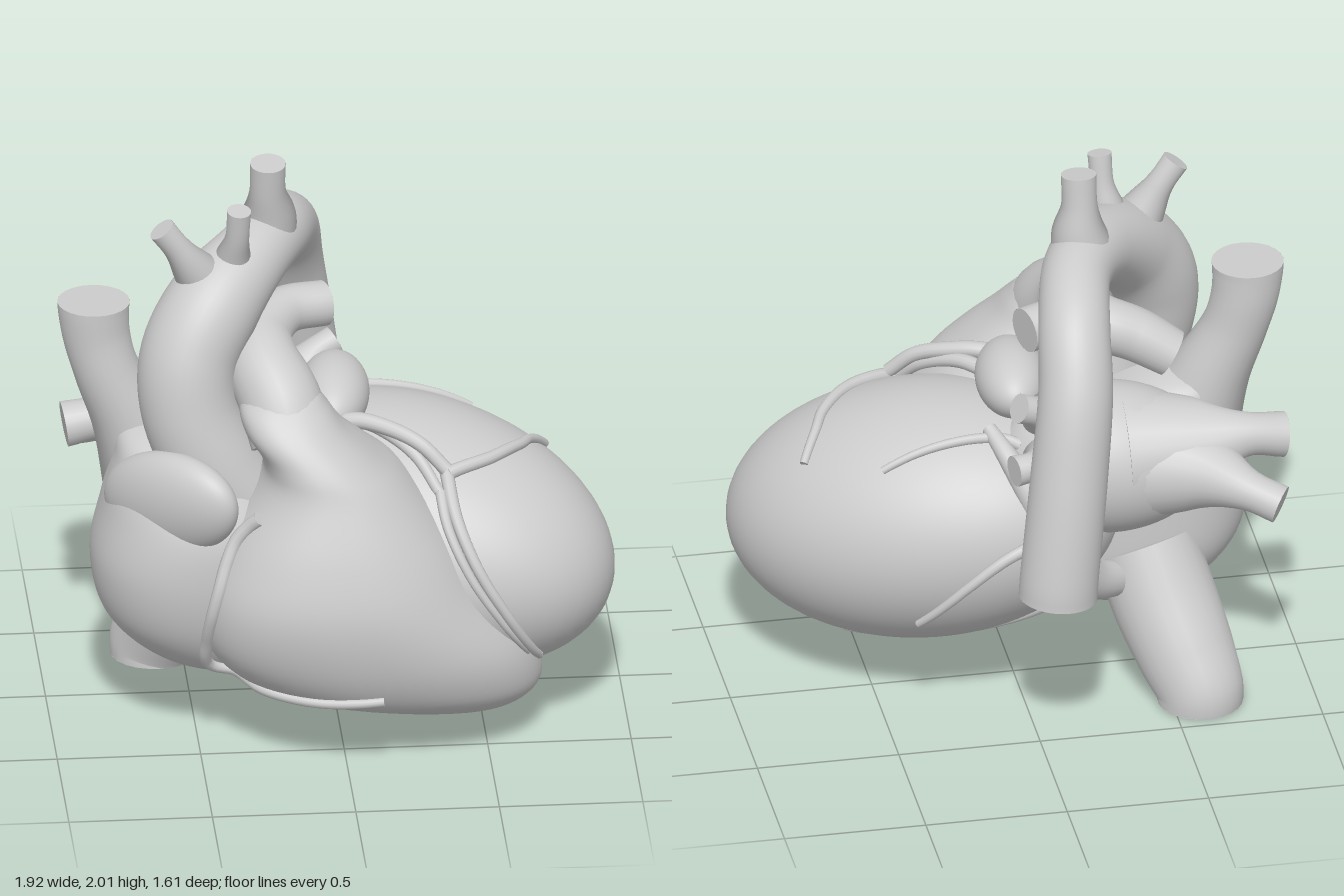
import * as THREE from 'three';

const grey = new THREE.MeshStandardMaterial({ color: 0xcccccc, side: THREE.DoubleSide });
const V = (p) => new THREE.Vector3(...p);

function add(parent, name, geometry) {
  const mesh = new THREE.Mesh(geometry, grey);
  mesh.name = name;
  parent.add(mesh);
  return mesh;
}

// Capped tube along points [x, y, z, radius]
function vessel(parent, name, points, segments = 40, sides = 24) {
  const group = new THREE.Group();
  group.name = name;
  const curve = new THREE.CatmullRomCurve3(points.map((p) => V(p.slice(0, 3))));
  const radii = new THREE.CatmullRomCurve3(points.map((p, i) => V([i, p[3], 0])), false, 'catmullrom', 0.5);
  const geo = new THREE.TubeGeometry(curve, segments, 1, sides);
  const pos = geo.attributes.position;
  const v = new THREE.Vector3();
  for (let i = 0; i <= segments; i++) {
    const centre = curve.getPointAt(i / segments);
    const r = radii.getPoint(curve.getUtoTmapping(i / segments)).y;
    for (let j = 0; j <= sides; j++) {
      const k = i * (sides + 1) + j;
      v.fromBufferAttribute(pos, k).sub(centre).multiplyScalar(r).add(centre);
      pos.setXYZ(k, v.x, v.y, v.z);
    }
  }
  add(group, name + 'Wall', geo);
  for (const [t, sign] of [[0, -1], [1, 1]]) {
    const cap = add(group, name + 'Cap', new THREE.CircleGeometry(points[t ? points.length - 1 : 0][3], sides));
    cap.position.copy(curve.getPointAt(t));
    cap.quaternion.setFromUnitVectors(V([0, 0, 1]), curve.getTangentAt(t).multiplyScalar(sign));
  }
  parent.add(group);
  return group;
}

// Smooth body through horizontal sections [y, xMin, xMax, zMin, zMax]
function loft(parent, name, sections, power, rows = 60, cols = 64) {
  const spline = (a, b) => new THREE.CatmullRomCurve3(sections.map((s) => V([s[0], s[a], s[b]])), false, 'catmullrom', 0.5);
  const xs = spline(1, 2), zs = spline(3, 4);
  const pos = [], index = [];
  const round = (c) => Math.sign(c) * Math.abs(c) ** (2 / power);
  for (let i = 0; i <= rows; i++) {
    const a = xs.getPoint(i / rows), b = zs.getPoint(i / rows);
    for (let j = 0; j < cols; j++) {
      const t = (j / cols) * Math.PI * 2;
      pos.push((a.y + a.z) / 2 + ((a.z - a.y) / 2) * round(Math.cos(t)), a.x,
        (b.y + b.z) / 2 + ((b.z - b.y) / 2) * round(Math.sin(t)));
      if (i === rows) continue;
      const k = i * cols + j, n = i * cols + ((j + 1) % cols);
      index.push(k, k + cols, n, n, k + cols, n + cols);
    }
  }
  const geo = new THREE.BufferGeometry();
  geo.setAttribute('position', new THREE.Float32BufferAttribute(pos, 3));
  geo.setIndex(index);
  geo.computeVertexNormals();
  return add(parent, name, geo);
}

// Ellipsoid whose local x axis points along a direction
function ellipsoid(parent, name, centre, radii, axis) {
  const geo = new THREE.SphereGeometry(1, 56, 40).scale(...radii);
  geo.applyQuaternion(new THREE.Quaternion().setFromUnitVectors(V([1, 0, 0]), V(axis).normalize()));
  return add(parent, name, geo.translate(...centre));
}

export function createModel() {
  const heart = new THREE.Group();
  heart.name = 'heart';

  // Chambers
  const leftVentricle = ellipsoid(heart, 'leftVentricle', [0.3, 0.64, 0.085], [0.71, 0.445, 0.495], [0.87, -0.19, 0.45]);
  const rightVentricle = loft(heart, 'rightVentricle', [
    [0.13, 0.4, 0.4, 0.38, 0.38], [0.135, 0.2, 0.58, 0.2, 0.52], [0.17, -0.04, 0.67, 0.07, 0.61],
    [0.25, -0.32, 0.7, 0, 0.71], [0.4, -0.48, 0.65, 0, 0.78], [0.6, -0.5, 0.5, 0, 0.805],
    [0.8, -0.42, 0.38, 0.05, 0.76], [1.0, -0.29, 0.23, 0.1, 0.68], [1.1, -0.28, 0.12, 0.16, 0.64],
    [1.2, -0.34, 0.01, 0.22, 0.58], [1.28, -0.35, -0.05, 0.24, 0.51], [1.33, -0.28, -0.1, 0.28, 0.44],
    [1.33, -0.2, -0.2, 0.35, 0.35],
  ], 2.3);
  const rightAtrium = loft(heart, 'rightAtrium', [
    [0.22, -0.38, -0.38, 0.18, 0.18], [0.23, -0.5, -0.25, 0.06, 0.32], [0.3, -0.68, -0.12, -0.1, 0.44],
    [0.45, -0.82, -0.12, -0.17, 0.53], [0.65, -0.86, -0.12, -0.18, 0.57], [0.85, -0.82, -0.15, -0.17, 0.55],
    [1.0, -0.78, -0.3, -0.13, 0.45], [1.1, -0.75, -0.45, -0.07, 0.28], [1.14, -0.62, -0.62, 0.08, 0.08],
  ], 2.2);
  ellipsoid(heart, 'rightAuricle', [-0.595, 0.93, 0.41], [0.3, 0.19, 0.11], [0.58, 0.25, 0.6]);
  ellipsoid(heart, 'leftAtrium', [-0.29, 0.92, -0.17], [0.38, 0.27, 0.26], [1, 0.05, 0.05]);
  ellipsoid(heart, 'leftAuricle', [0, 1.15, 0.04], [0.22, 0.12, 0.125], [-0.1, -0.05, 1]);

  // Aorta and its three branches
  vessel(heart, 'aorta', [
    [-0.3, 0.8, 0.28, 0.15], [-0.44, 1.02, 0.29, 0.17], [-0.52, 1.22, 0.27, 0.17], [-0.52, 1.4, 0.235, 0.172],
    [-0.43, 1.56, 0.16, 0.168], [-0.29, 1.66, 0, 0.135], [-0.19, 1.67, -0.18, 0.122], [-0.14, 1.58, -0.4, 0.125],
    [-0.12, 1.4, -0.53, 0.13], [-0.08, 1.1, -0.615, 0.135], [-0.035, 0.74, -0.67, 0.137], [-0.03, 0.67, -0.672, 0.137],
  ], 90, 36);
  vessel(heart, 'leftSubclavianArtery', [[-0.225, 1.7, -0.1, 0.11], [-0.215, 1.79, -0.09, 0.095], [-0.22, 1.88, -0.075, 0.064], [-0.22, 1.993, -0.06, 0.062]], 20);
  vessel(heart, 'leftCarotidArtery', [[-0.37, 1.64, 0.11, 0.1], [-0.355, 1.75, 0.14, 0.06], [-0.345, 1.82, 0.16, 0.042], [-0.34, 1.93, 0.18, 0.042]], 20);
  vessel(heart, 'brachiocephalicArtery', [[-0.44, 1.62, 0.15, 0.11], [-0.52, 1.74, 0.17, 0.065], [-0.56, 1.8, 0.175, 0.048], [-0.61, 1.87, 0.18, 0.048]], 20);

  // Pulmonary arteries leaving the trunk
  vessel(heart, 'leftPulmonaryArtery', [[-0.18, 1.15, 0.41, 0.14], [-0.21, 1.27, 0.34, 0.145], [-0.26, 1.36, 0.22, 0.13], [-0.25, 1.4, 0.07, 0.105], [-0.16, 1.425, -0.06, 0.085], [-0.02, 1.42, -0.115, 0.08]]);
  vessel(heart, 'rightPulmonaryArtery', [[-0.22, 1.4, 0.04, 0.1], [-0.3, 1.385, -0.05, 0.1], [-0.42, 1.34, -0.08, 0.095], [-0.54, 1.27, -0.11, 0.085]]);

  // Great veins
  vessel(heart, 'superiorVenaCava', [[-0.62, 0.9, 0.06, 0.2], [-0.71, 1.1, 0.05, 0.14], [-0.79, 1.27, 0.04, 0.115], [-0.825, 1.4, 0.03, 0.117], [-0.835, 1.5, 0.03, 0.124], [-0.835, 1.53, 0.03, 0.126]]);
  vessel(heart, 'inferiorVenaCava', [[-0.45, 0.5, -0.08, 0.18], [-0.5, 0.33, -0.17, 0.185], [-0.56, 0.16, -0.265, 0.172], [-0.6, 0.04, -0.32, 0.152], [-0.6, 0, -0.32, 0.15]]);

  // Pulmonary veins, flaring into the left atrium
  const pulmonaryVeins = new THREE.Group();
  pulmonaryVeins.name = 'pulmonaryVeins';
  heart.add(pulmonaryVeins);
  [
    [[-0.35, 0.95, -0.2, 0.23], [-0.62, 0.96, -0.21, 0.16], [-0.78, 0.97, -0.2, 0.08], [-0.92, 0.95, -0.19, 0.08]],
    [[-0.35, 0.92, -0.21, 0.22], [-0.6, 0.9, -0.29, 0.15], [-0.75, 0.86, -0.39, 0.075], [-0.86, 0.82, -0.45, 0.068]],
    [[-0.2, 1.0, -0.15, 0.17], [-0.08, 1.12, -0.21, 0.1], [-0.03, 1.17, -0.25, 0.055], [0.03, 1.2, -0.27, 0.052]],
    [[-0.2, 0.95, -0.2, 0.18], [-0.06, 1.0, -0.31, 0.1], [0, 1.02, -0.37, 0.055], [0.07, 1.02, -0.39, 0.055]],
  ].forEach((p) => vessel(pulmonaryVeins, 'pulmonaryVein', p, 20));

  // Coronary vessels, laid on the chambers by casting points along one axis
  const coronaries = new THREE.Group();
  coronaries.name = 'coronaryVessels';
  heart.add(coronaries);
  const targets = [leftVentricle, rightVentricle, rightAtrium];
  const casts = {
    front: (a, b) => [[a, b, 3], [0, 0, -1]],
    back: (a, b) => [[a, b, -3], [0, 0, 1]],
    top: (a, b) => [[a, 3, b], [0, -1, 0]],
    below: (a, b) => [[a, -3, b], [0, 1, 0]],
  };
  function drape(name, from, r, flat) {
    const path = new THREE.SplineCurve(flat.map((p) => new THREE.Vector2(...p)));
    const points = [];
    for (let i = 0; i <= 16; i++) {
      const p = path.getPoint(i / 16);
      const [o, d] = casts[from](p.x, p.y).map(V);
      const hit = new THREE.Raycaster(o, d).intersectObjects(targets, false)[0];
      if (hit) points.push([...hit.point.addScaledVector(d, -r * 0.4).toArray(), r * (1 - 0.025 * i)]);
    }
    vessel(coronaries, name, points, 60, 10);
  }
  drape('rightCoronaryArtery', 'front', 0.027, [[-0.3, 0.93], [-0.39, 0.82], [-0.455, 0.62], [-0.48, 0.45], [-0.47, 0.33], [-0.35, 0.29], [-0.1, 0.27], [0.12, 0.29]]);
  drape('anteriorDescendingArtery', 'front', 0.025, [[0.365, 1.0], [0.39, 0.88], [0.46, 0.72], [0.57, 0.53], [0.68, 0.33]]);
  drape('anteriorVein', 'front', 0.02, [[0.34, 0.95], [0.36, 0.85], [0.43, 0.7], [0.53, 0.54], [0.64, 0.37]]);
  drape('diagonalArtery', 'top', 0.025, [[0.37, 0.4], [0.52, 0.32], [0.63, 0.2], [0.68, 0.1], [0.74, 0.0]]);
  drape('marginalArtery', 'top', 0.022, [[0.02, -0.24], [0.1, -0.21], [0.3, -0.2], [0.5, -0.2]]);
  drape('posteriorMarginalArtery', 'back', 0.024, [[-0.08, 0.78], [0.1, 0.72], [0.25, 0.6], [0.4, 0.42]]);
  drape('posteriorDescendingArtery', 'below', 0.025, [[-0.2, -0.22], [0.05, -0.1], [0.25, -0.02], [0.42, 0.05], [0.57, 0.15]]);
  vessel(coronaries, 'leftMainArtery', [[-0.1, 1.08, 0.22, 0.03], [0.05, 1.14, 0.25, 0.03], [0.17, 1.13, 0.3, 0.028], [0.28, 1.09, 0.36, 0.026], [0.365, 1.01, 0.4, 0.025]], 30, 12);
  vessel(coronaries, 'greatCardiacVein', [[0.02, 1.1, 0.12, 0.03], [0.14, 1.11, 0.25, 0.026], [0.26, 1.05, 0.36, 0.022], [0.34, 0.94, 0.45, 0.02]], 30, 12);
  vessel(coronaries, 'coronarySinus', [[0.12, 1.08, -0.18, 0.025], [0.06, 1.0, -0.31, 0.04], [-0.02, 0.85, -0.385, 0.055], [-0.1, 0.68, -0.37, 0.065], [-0.22, 0.5, -0.28, 0.07], [-0.36, 0.42, -0.16, 0.06]], 40, 16);

  return heart;
}
